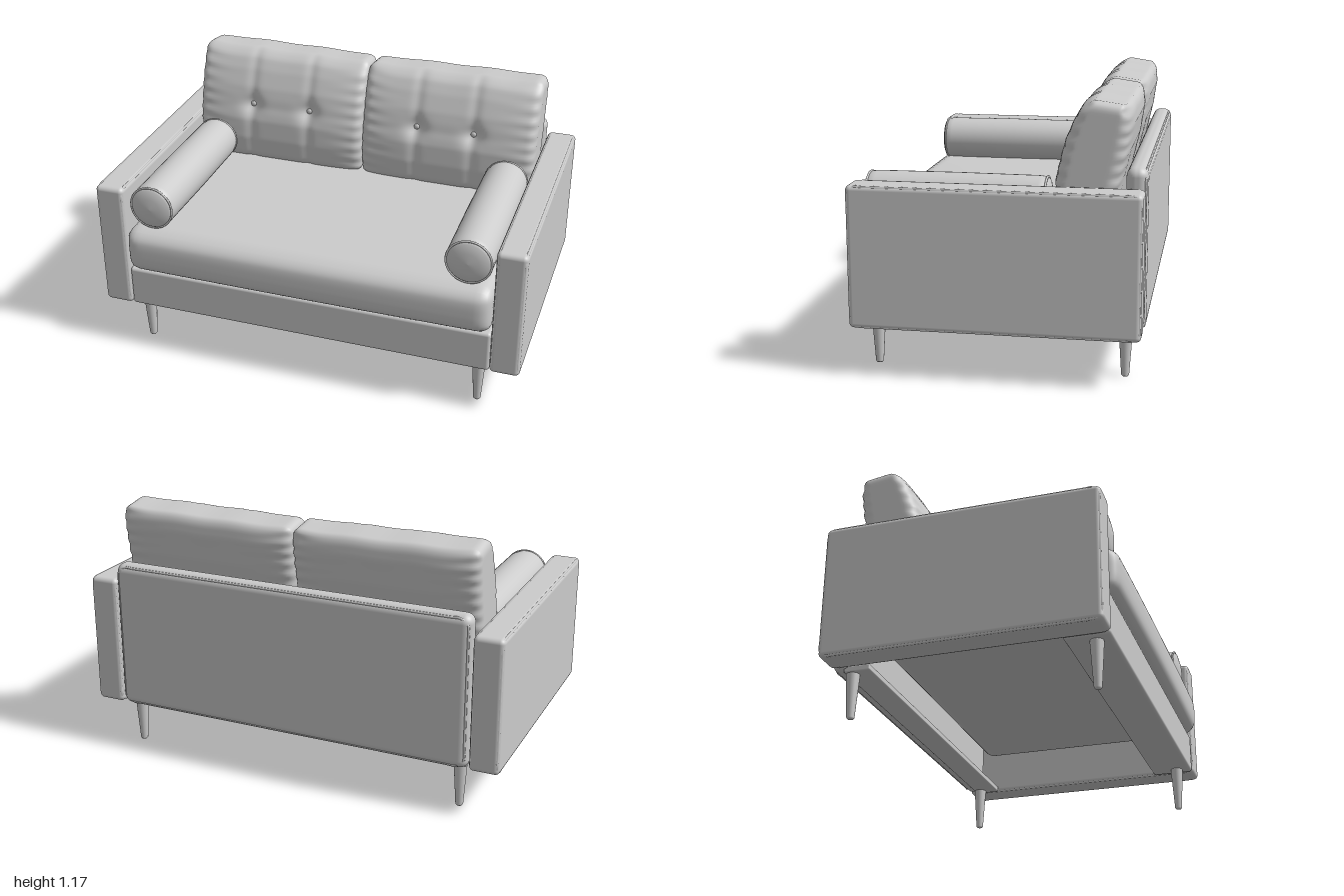
import * as THREE from 'three';
import { mergeVertices } from 'three/addons/utils/BufferGeometryUtils.js';
import { RoundedBoxGeometry } from 'three/addons/geometries/RoundedBoxGeometry.js';

const material = new THREE.MeshStandardMaterial({ color: 0xcccccc, roughness: 0.8 });

function add(parent, name, geometry, x = 0, y = 0, z = 0) {
  const mesh = new THREE.Mesh(geometry, material);
  mesh.name = name;
  mesh.position.set(x, y, z);
  parent.add(mesh);
  return mesh;
}

// Rounded block given by its extents
function block(parent, name, [x0, x1], [y0, y1], [z0, z1], radius) {
  const geometry = new RoundedBoxGeometry(x1 - x0, y1 - y0, z1 - z0, 4, radius);
  return add(parent, name, geometry, (x0 + x1) / 2, (y0 + y1) / 2, (z0 + z1) / 2);
}

// Finely divided box with rounded edges, then shaped by a rule on each vertex
function softBox(w, h, d, radius, segments, rule) {
  let geometry = new THREE.BoxGeometry(w, h, d, ...segments);
  geometry.deleteAttribute('uv');
  geometry.deleteAttribute('normal');
  geometry = mergeVertices(geometry);
  const position = geometry.attributes.position;
  const inner = new THREE.Vector3(w / 2 - radius, h / 2 - radius, d / 2 - radius);
  const p = new THREE.Vector3();
  const core = new THREE.Vector3();
  for (let i = 0; i < position.count; i++) {
    p.fromBufferAttribute(position, i);
    core.copy(p).clamp(inner.clone().negate(), inner);
    p.sub(core);
    if (p.lengthSq() > 0) p.setLength(radius);
    p.add(core);
    rule(p);
    position.setXYZ(i, p.x, p.y, p.z);
  }
  geometry.computeVertexNormals();
  return geometry;
}

// Piping around a rounded rectangle; toWorld places each flat point
function piping(parent, name, w, h, corner, thickness, toWorld) {
  const a = w / 2 - corner;
  const b = h / 2 - corner;
  const shape = new THREE.Shape();
  shape.absarc(a, b, corner, 0, Math.PI / 2);
  shape.absarc(-a, b, corner, Math.PI / 2, Math.PI);
  shape.absarc(-a, -b, corner, Math.PI, Math.PI * 1.5);
  shape.absarc(a, -b, corner, Math.PI * 1.5, Math.PI * 2);
  shape.closePath();
  const points = shape.getSpacedPoints(100).slice(0, -1).map((p) => toWorld(p.x, p.y));
  const curve = new THREE.CatmullRomCurve3(points, true);
  return add(parent, name, new THREE.TubeGeometry(curve, 160, thickness, 6, true));
}

// Linear lookup in a short profile of [y, value] pairs
function profile(table, y) {
  for (let i = 1; i < table.length; i++) {
    const [y0, v0] = table[i - 1];
    const [y1, v1] = table[i];
    if (y <= y1 || i === table.length - 1) {
      return THREE.MathUtils.lerp(v0, v1, THREE.MathUtils.clamp((y - y0) / (y1 - y0), 0, 1));
    }
  }
}

const cushionFront = [[0.62, -0.25], [0.74, -0.235], [0.84, -0.24], [0.92, -0.257], [1.0, -0.28],
  [1.08, -0.315], [1.13, -0.345], [1.175, -0.39]];
const cushionBack = [[0.62, -0.48], [0.82, -0.52], [0.95, -0.55], [1.08, -0.567], [1.175, -0.56]];

// Tufted back cushion centred on cx, with buttons at the given x positions
function backCushion(parent, name, cx, buttons) {
  const group = new THREE.Group();
  group.name = name;
  const width = 0.856;
  const buttonY = 0.91;
  const geometry = softBox(width, 0.545, 0.28, 0.04, [72, 48, 18], (p) => {
    const s = p.z / 0.28 + 0.5;
    const edge = Math.abs(p.x) / (width / 2);
    const x = p.x + cx;
    const y = p.y + 0.895;
    let z = THREE.MathUtils.lerp(profile(cushionBack, y), profile(cushionFront, y), s);
    // Thinner towards the sides, with small gathers along the seams
    z -= (s - 0.5) * 0.05 * edge ** 6;
    z += (s - 0.5) * 0.01 * Math.sin(y * 110 + x * 6) * edge ** 6;
    // Button dimples and the creases running through them
    if (s > 0.5) {
      const f = (s - 0.5) * 2;
      for (const b of buttons) {
        const dx = x - b;
        const dy = y - buttonY;
        z -= f * 0.026 * Math.exp(-(dx * dx + dy * dy) / 0.0022);
        z -= f * 0.008 * Math.exp(-(dx * dx) / 0.0006);
      }
      z -= f * 0.004 * Math.exp(-((y - buttonY) ** 2) / 0.0008) * (1 - edge * edge);
    }
    // Top slopes down to the back and rises slightly at the outer corner
    const top = THREE.MathUtils.smoothstep(y, 0.95, 1.16);
    p.set(p.x, y + top * (0.008 * Math.abs(x) - 0.002 * Math.cos(p.x * 22) - 0.022 * (1 - s)), z);
  });
  add(group, 'cushionBody', geometry, cx);
  for (const b of buttons) {
    const button = add(group, 'button', new THREE.SphereGeometry(0.014, 16, 10), b, buttonY, -0.286);
    button.scale.z = 0.6;
  }
  parent.add(group);
}

export function createModel() {
  const sofa = new THREE.Group();
  sofa.name = 'sofa';

  // Seat cushion with a bowed, rounded front and slightly crowned top
  const seat = softBox(1.715, 0.235, 1.16, 0.06, [70, 28, 56], (p) => {
    const u = 1 - (p.x / 0.8575) ** 2;
    const front = THREE.MathUtils.smoothstep(p.z, 0.4, 0.58);
    p.z -= front * 0.035 * (Math.abs(p.y) / 0.1175) ** 3;
    p.z += front * 0.006 * u;
    if (p.y > 0.08) p.y += 0.003 * u * (1 - (p.z / 0.58) ** 2);
  });
  add(sofa, 'seatCushion', seat, 0, 0.513, 0.049);

  // Deep front rail, rear cross rail and back panel; the underside stays open
  block(sofa, 'frontRail', [-0.862, 0.862], [0.21, 0.405], [0.39, 0.59], 0.015);
  block(sofa, 'rearRail', [-0.84, 0.84], [0.202, 0.23], [-0.58, -0.46], 0.006);
  block(sofa, 'backPanel', [-0.857, 0.857], [0.21, 0.904], [-0.635, -0.543], 0.04);
  piping(sofa, 'backPiping', 1.684, 0.664, 0.03, 0.006,
    (u, v) => new THREE.Vector3(u, 0.557 + v, -0.624));

  // Tufted back cushions
  backCushion(sofa, 'rightBackCushion', -0.428, [-0.57, -0.275]);
  backCushion(sofa, 'leftBackCushion', 0.428, [0.275, 0.555]);

  // Bolster outline, turned around its long axis
  const bolsterProfile = [[0, -0.405], [0.05, -0.402], [0.09, -0.392], [0.101, -0.38], [0.105, -0.35],
    [0.107, 0], [0.105, 0.35], [0.101, 0.38], [0.09, 0.392], [0.05, 0.402], [0, 0.405]]
    .map(([r, h]) => new THREE.Vector2(r, h));

  // Tapered leg outline
  const legProfile = [[0, 0], [0.012, 0], [0.017, 0.006], [0.03, 0.205], [0.028, 0.213], [0, 0.213]]
    .map(([r, h]) => new THREE.Vector2(r, h));

  for (const side of [-1, 1]) {
    const label = side > 0 ? 'left' : 'right';

    // Arm with piping along its inner and outer faces
    const arm = new THREE.Group();
    arm.name = label + 'Arm';
    sofa.add(arm);
    const xs = side > 0 ? [0.862, 0.998] : [-0.998, -0.862];
    block(arm, 'armBody', xs, [0.21, 0.822], [-0.627, 0.597], 0.022);
    for (const x of [0.873, 0.987]) {
      piping(arm, 'armPiping', 1.206, 0.596, 0.025, 0.007,
        (u, v) => new THREE.Vector3(side * x, 0.516 + v, -0.015 + u));
    }

    // Bolster with a seam ring at each end
    const bolster = new THREE.Group();
    bolster.name = label + 'Bolster';
    bolster.position.set(side * 0.74, 0.732, 0.175);
    sofa.add(bolster);
    add(bolster, 'bolsterBody', new THREE.LatheGeometry(bolsterProfile, 40)).rotation.x = Math.PI / 2;
    for (const end of [-1, 1]) {
      add(bolster, 'bolsterSeam', new THREE.TorusGeometry(0.101, 0.005, 8, 40), 0, 0, end * 0.382);
    }

    // Front and rear legs
    for (const [place, z] of [['Front', 0.52], ['Rear', -0.55]]) {
      add(sofa, label + place + 'Leg', new THREE.LatheGeometry(legProfile, 24), side * 0.805, 0, z);
    }
  }
  return sofa;
}
